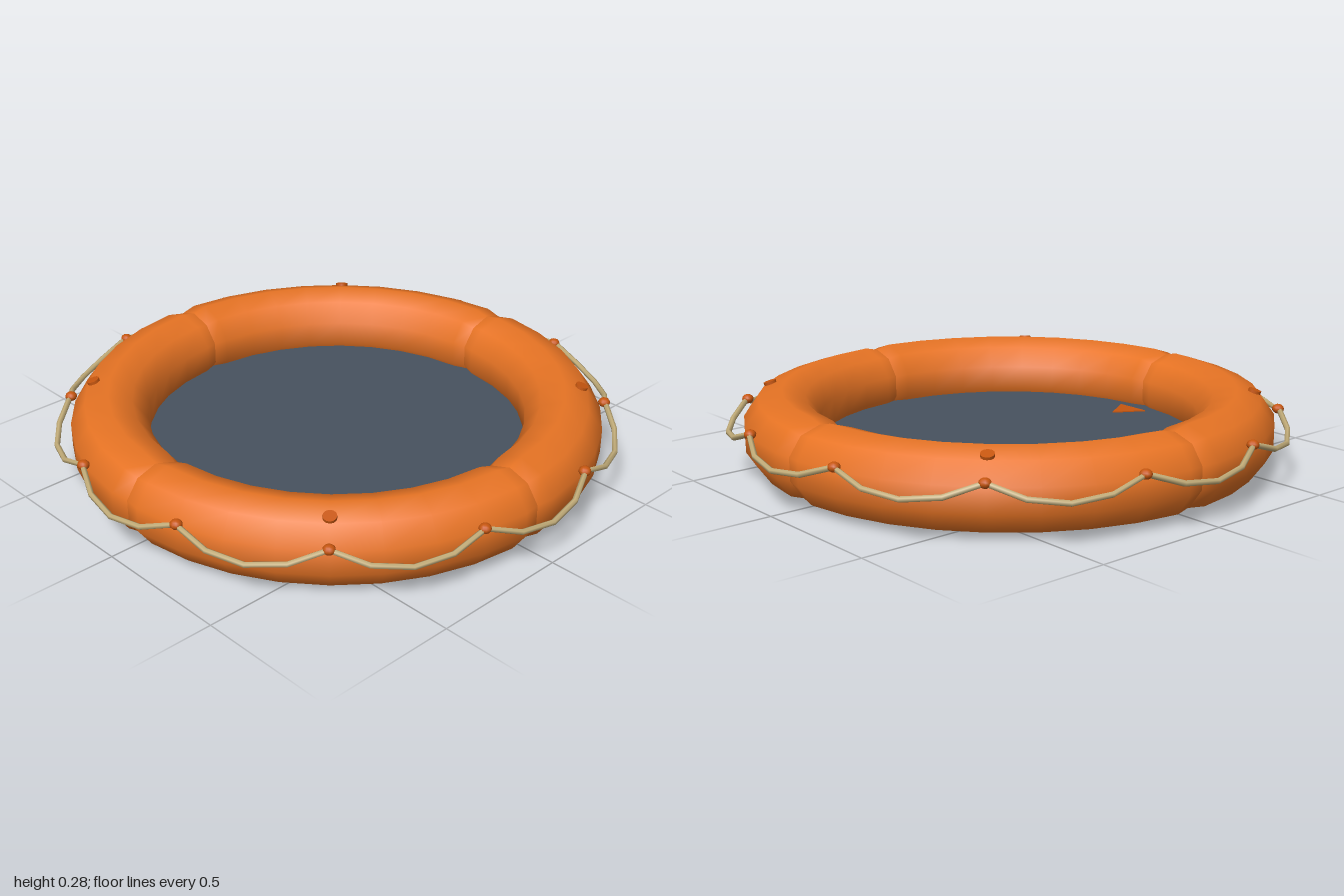
import * as THREE from 'three';

const mat = (name, color) => {
  const m = new THREE.MeshStandardMaterial({ color });
  m.name = name;
  return m;
};

const RING = 0.803, TUBE = 0.141, MID = 0.144;

// Quarter of the inflated ring: ten-sided tube, pinched in at both seams
function quarterTube() {
  const sides = 10, steps = 10;
  const geo = new THREE.TorusGeometry(RING, TUBE, sides, steps, Math.PI / 2);
  const pos = geo.attributes.position, nor = geo.attributes.normal;
  const pinch = THREE.MathUtils.degToRad(4);
  for (let j = 0; j <= sides; j++) {
    const v = (j + 0.5) / sides * Math.PI * 2;
    for (let i = 0; i <= steps; i++) {
      const k = j * (steps + 1) + i;
      const end = i === 0 ? -1 : i === steps ? 1 : 0;
      const u = end < 0 ? 0 : end > 0 ? Math.PI / 2
        : pinch + (i - 1) / (steps - 2) * (Math.PI / 2 - 2 * pinch);
      const r = end ? TUBE - 0.014 : TUBE;
      const c = Math.cos(u), s = Math.sin(u), d = RING + r * Math.cos(v);
      pos.setXYZ(k, d * c, d * s, r * Math.sin(v));
      const n = new THREE.Vector3(Math.cos(v) * c, Math.cos(v) * s, Math.sin(v));
      n.add(new THREE.Vector3(-s, c, 0).multiplyScalar(end * 0.25)).normalize();
      nor.setXYZ(k, n.x, n.y, n.z);
    }
  }
  return geo.rotateX(-Math.PI / 2);
}

export function createModel() {
  const group = new THREE.Group();
  const orange = mat('orange rubber', 0xe87424);
  const darkOrange = mat('dark orange', 0xc6560f);
  const slate = mat('slate floor', 0x47525f);
  const tan = mat('tan rope', 0xc4ae7a);

  const add = (name, geo, material, x = 0, y = 0, z = 0) => {
    const mesh = new THREE.Mesh(geo, material);
    mesh.name = name;
    mesh.position.set(x, y, z);
    group.add(mesh);
    return mesh;
  };

  // Four inflated chambers
  const quarter = quarterTube();
  for (let q = 0; q < 4; q++) {
    add('ringChamber', quarter, orange, 0, MID, 0).rotation.y = q * Math.PI / 2;
  }

  // Floor
  add('floor', new THREE.CylinderGeometry(0.718, 0.718, 0.052, 48), slate, 0, 0.058, 0);

  // Arrow marker lying on the floor, pointing to the middle
  const arrow = new THREE.Shape([
    new THREE.Vector2(-0.065, -0.63),
    new THREE.Vector2(0.065, -0.63),
    new THREE.Vector2(0, -0.52),
  ]);
  const arrowGeo = new THREE.ExtrudeGeometry(arrow, { depth: 0.006, bevelEnabled: false });
  add('arrowMarker', arrowGeo.rotateX(-Math.PI / 2), darkOrange, 0, 0.082, 0);

  // Grab rope sagging outward between twelve clips
  const points = [];
  for (let i = 0; i < 48; i++) {
    const a = (i / 4 + 0.5) * Math.PI / 6;
    const t = (i % 4) / 4;
    const sag = 4 * t * (1 - t);
    const r = 0.953 + 0.037 * sag;
    points.push(new THREE.Vector3(Math.cos(a) * r, 0.207 - 0.055 * sag, Math.sin(a) * r));
  }
  const path = new THREE.CatmullRomCurve3(points, true);
  add('grabRope', new THREE.TubeGeometry(path, 48, 0.01, 6, true), tan);

  // Rope clips
  const clip = new THREE.SphereGeometry(0.021, 10, 8).scale(1, 0.8, 1);
  for (let i = 0; i < 12; i++) {
    const a = (i + 0.5) * Math.PI / 6;
    add('ropeClip', clip, darkOrange, Math.cos(a) * 0.95, 0.207, Math.sin(a) * 0.95);
  }

  // Inflation valves set square to the upper slope, one per chamber
  const valve = new THREE.CylinderGeometry(0.023, 0.023, 0.022, 12)
    .rotateZ(-Math.PI / 10)
    .translate(0.864, 0.264, 0);
  for (let q = 0; q < 4; q++) {
    add('valve', valve, darkOrange).rotation.y = (q + 0.5) * Math.PI / 2;
  }

  return group;
}
